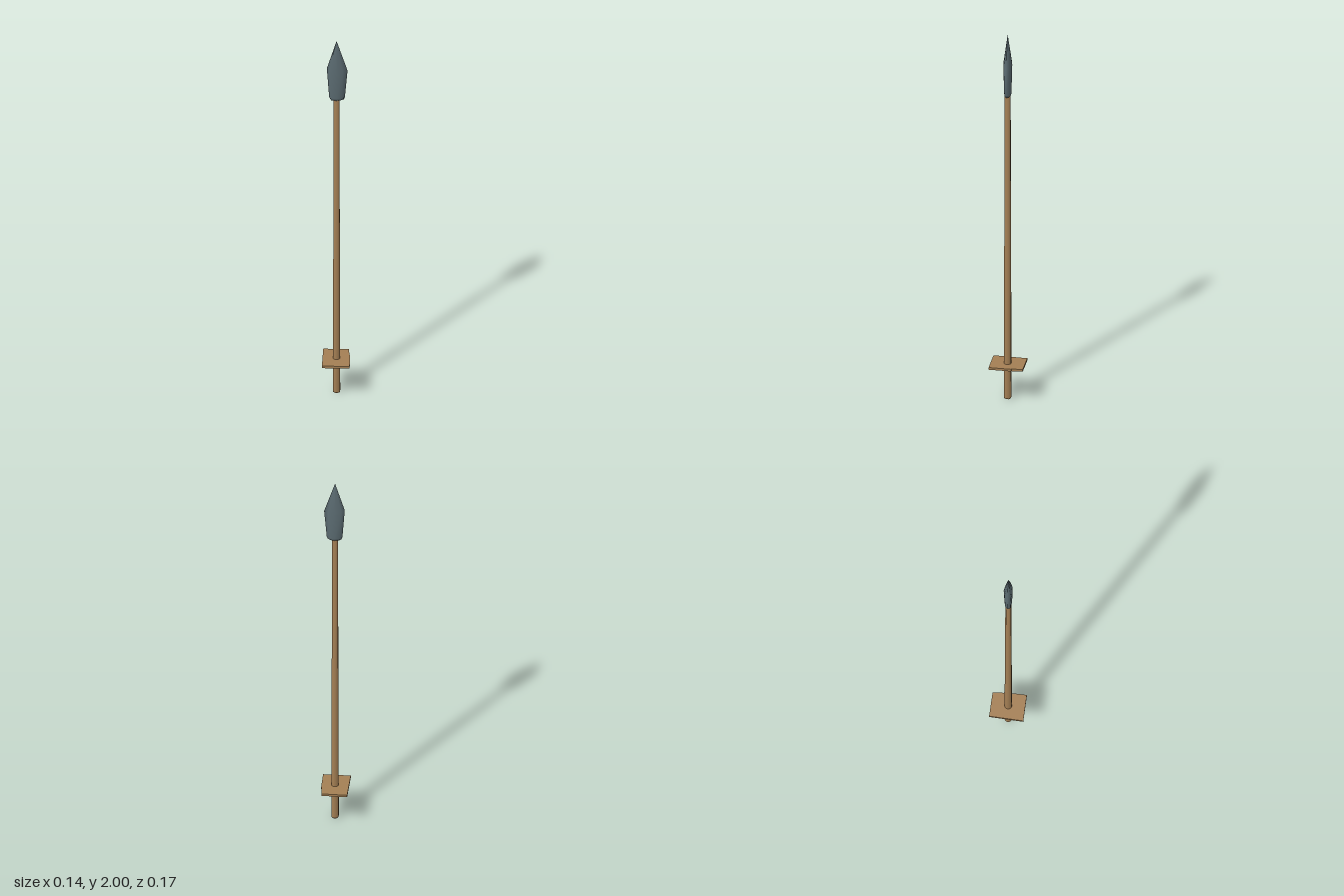
import * as THREE from 'three';
import { mergeVertices } from 'three/addons/utils/BufferGeometryUtils.js';

const wood = new THREE.MeshStandardMaterial({ color: 0xa47f54 });
const stone = new THREE.MeshStandardMaterial({ color: 0x5a6a70 });

// Join stacked rings of [x, y, z] points into a closed, smoothly shaded solid.
function loft(rings) {
  const n = rings[0].length, index = [];
  const points = rings.flat();
  for (let r = 0; r < rings.length - 1; r++) {
    for (let i = 0; i < n; i++) {
      const a = r * n + i, b = r * n + (i + 1) % n;
      index.push(a, a + n, b, b, a + n, b + n);
    }
  }
  const top = (rings.length - 1) * n;
  for (let i = 1; i < n - 1; i++) {
    index.push(0, i, i + 1, top, top + i + 1, top + i);
  }
  const geo = new THREE.BufferGeometry();
  geo.setAttribute('position', new THREE.Float32BufferAttribute(points.flat(), 3));
  geo.setIndex(index);
  const merged = mergeVertices(geo, 1e-5);
  merged.computeVertexNormals();
  return merged;
}

function addMesh(group, name, geometry, material) {
  const mesh = new THREE.Mesh(geometry, material);
  mesh.name = name;
  group.add(mesh);
}

export function createModel() {
  const group = new THREE.Group();
  group.name = 'spear';

  // Tapered eight-sided pole with a small bevel at the butt
  const circle = (radius, y) => Array.from({ length: 8 }, (_, i) => {
    const a = (i + 0.5) * Math.PI / 4;
    return [radius * Math.cos(a), y, radius * Math.sin(a)];
  });
  addMesh(group, 'shaft', loft([circle(0.017, 0), circle(0.0195, 0.006), circle(0.015, 1.7)]), wood);

  // Irregular leaf-shaped spearhead, running to a point
  const outline = [[0.054, 0], [0.031, 0.015], [0, 0.022], [-0.038, 0.018],
    [-0.048, 0], [-0.033, -0.015], [0, -0.023], [0.033, -0.017]];
  const section = (sx, sz, y, tilt = 0) =>
    outline.map(([x, z]) => [x * sx, y + x * tilt, z * sz]);
  addMesh(group, 'spearhead', loft([
    section(0.66, 0.72, 1.668),
    section(0.76, 0.82, 1.68),
    section(1, 1, 1.838, -0.1),
    section(0.001, 0.001, 2),
  ]), stone);

  // Thin, slightly uneven hand guard
  const corners = [[-0.068, -0.086], [0.058, -0.086], [0.063, -0.03],
    [0.066, -0.028], [0.067, 0.083], [-0.07, 0.084]];
  const plate = new THREE.Shape(corners.map(([x, z]) => new THREE.Vector2(x, -z)));
  const guard = new THREE.ExtrudeGeometry(plate, { depth: 0.012, bevelEnabled: false });
  guard.rotateX(-Math.PI / 2).translate(0, 0.18, 0);
  addMesh(group, 'handGuard', guard, wood);

  return group;
}
